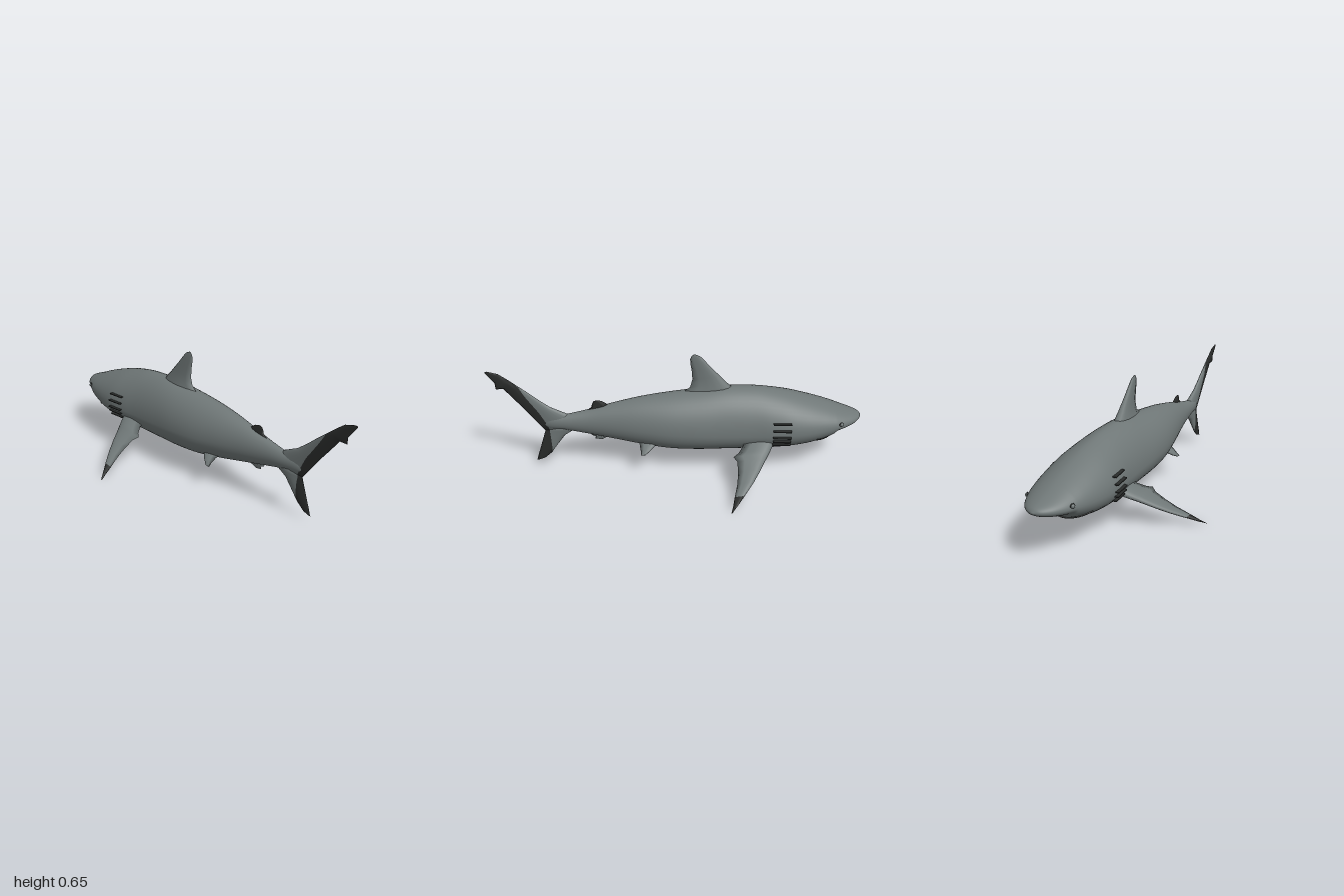
import * as THREE from 'three';
import { mergeVertices } from 'three/addons/utils/BufferGeometryUtils.js';

const skin = new THREE.MeshStandardMaterial({ color: 0x6f7777, side: THREE.DoubleSide });
skin.name = 'grey skin';
const dark = new THREE.MeshStandardMaterial({ color: 0x2a2c2b, side: THREE.DoubleSide });
dark.name = 'dark markings';

// Body stations: z, top, bottom, half width, height of widest point
const stations = [
  [-1.0, 0.283, 0.277, 0.006, 0.28], [-0.985, 0.298, 0.262, 0.04, 0.279],
  [-0.95, 0.312, 0.245, 0.077, 0.276], [-0.9, 0.33, 0.23, 0.108, 0.272],
  [-0.855, 0.348, 0.217, 0.128, 0.269], [-0.83, 0.358, 0.19, 0.137, 0.266],
  [-0.78, 0.376, 0.168, 0.15, 0.262], [-0.7, 0.402, 0.146, 0.165, 0.255],
  [-0.6, 0.43, 0.13, 0.173, 0.25], [-0.5, 0.45, 0.12, 0.167, 0.243],
  [-0.4, 0.463, 0.115, 0.157, 0.24], [-0.25, 0.465, 0.112, 0.152, 0.24],
  [-0.1, 0.449, 0.11, 0.15, 0.245], [0.05, 0.432, 0.118, 0.138, 0.25],
  [0.2, 0.41, 0.142, 0.11, 0.26], [0.35, 0.377, 0.172, 0.075, 0.268],
  [0.48, 0.342, 0.2, 0.048, 0.27], [0.6, 0.316, 0.225, 0.031, 0.27],
  [0.68, 0.305, 0.235, 0.018, 0.27], [0.72, 0.28, 0.25, 0.004, 0.265],
];
const heights = new THREE.CatmullRomCurve3(stations.map(s => new THREE.Vector3(s[0], s[1], s[2])), false, 'catmullrom');
const widths = new THREE.CatmullRomCurve3(stations.map(s => new THREE.Vector3(s[0], s[3], s[4])), false, 'catmullrom');

// Point on the body at curve parameter t and angle a (0 = left flank, PI/2 = back)
function bodyPoint(t, a) {
  const h = heights.getPoint(t), w = widths.getPoint(t);
  const c = Math.cos(a), s = Math.sin(a);
  const x = w.y * Math.sign(c) * Math.pow(Math.abs(c), s > 0 ? 1.15 : 0.95);
  return new THREE.Vector3(x, w.z + s * (s > 0 ? h.y - w.z : w.z - h.z), h.x);
}

// Same, addressed by z
function bodyAt(z, a) {
  const i = Math.max(0, stations.findIndex(s => s[0] > z) - 1);
  const f = (z - stations[i][0]) / (stations[i + 1][0] - stations[i][0]);
  return bodyPoint((i + f) / (stations.length - 1), a);
}

// Surface through equal-length closed rings; isDark(j) picks the colour of strip j
function loft(name, rings, isDark = () => false) {
  const n = rings[0].length, pos = [], faces = [[], []];
  rings.forEach(r => r.forEach(p => pos.push(p.x, p.y, p.z)));
  for (let i = 0; i < rings.length - 1; i++) {
    for (let j = 0; j < n; j++) {
      const a = i * n + j, b = i * n + (j + 1) % n;
      faces[isDark(j) ? 1 : 0].push(a, b, a + n, b, b + n, a + n);
    }
  }
  // End caps
  const last = (rings.length - 1) * n;
  for (let j = 1; j < n - 1; j++) {
    faces[0].push(0, j + 1, j);
    faces[isDark(j) ? 1 : 0].push(last, last + j, last + j + 1);
  }
  let g = new THREE.BufferGeometry();
  g.setAttribute('position', new THREE.Float32BufferAttribute(pos, 3));
  g.setIndex([...faces[0], ...faces[1]]);
  g.addGroup(0, faces[0].length, 0);
  g.addGroup(faces[0].length, faces[1].length, 1);
  g = mergeVertices(g, 1e-5);
  g.computeVertexNormals();
  const mesh = new THREE.Mesh(g, [skin, dark]);
  mesh.name = name;
  return mesh;
}

// Fin from rows [leading point, trailing point, half thickness, chord fraction where dark begins]
function fin(name, rows, normal, side = 1) {
  const N = 12, H = N / 2;
  const dir = new THREE.Vector3(...normal).normalize();
  const rings = rows.map(([lead, trail, thick, split = 1]) => {
    const A = new THREE.Vector3(...lead), B = new THREE.Vector3(...trail);
    const at = (i, sign) => {
      const u = i <= H ? split * Math.pow(i / H, 1.6) : split + (1 - split) * (i - H) / H;
      const p = A.clone().lerp(B, u).addScaledVector(dir, sign * thick * 2.6 * Math.sqrt(u) * (1 - u));
      p.x *= side;
      return p;
    };
    const ring = [];
    for (let i = 0; i <= N; i++) ring.push(at(i, 1));
    for (let i = N - 1; i > 0; i--) ring.push(at(i, -1));
    return ring;
  });
  return loft(name, rings, j => j >= H && j < N + H);
}

// Upright fin rows: leading z, y, trailing z, y, half thickness, split
const upright = rows => rows.map(([z1, y1, z2, y2, t, s]) => [[0, y1, z1], [0, y2, z2], t, s]);

export function createModel() {
  const model = new THREE.Group();

  // Body
  const rings = [];
  for (let i = 0; i <= 95; i++) {
    const ring = [];
    for (let j = 0; j < 48; j++) ring.push(bodyPoint(i / 95, j / 48 * Math.PI * 2));
    rings.push(ring);
  }
  model.add(loft('body', rings));

  // Dorsal fins
  model.add(fin('dorsalFin', upright([
    [-0.31, 0.44, 0.0, 0.41, 0.034], [-0.28, 0.472, -0.035, 0.44, 0.028],
    [-0.25, 0.5, -0.068, 0.465, 0.022], [-0.22, 0.533, -0.08, 0.51, 0.017],
    [-0.18, 0.575, -0.076, 0.56, 0.013], [-0.145, 0.615, -0.069, 0.6, 0.009],
    [-0.12, 0.642, -0.067, 0.627, 0.006], [-0.09, 0.655, -0.075, 0.645, 0.002],
  ]), [1, 0, 0]));
  model.add(fin('rearDorsalFin', upright([
    [0.33, 0.35, 0.46, 0.325, 0.013, 1], [0.358, 0.362, 0.485, 0.338, 0.01, 1],
    [0.358, 0.362, 0.485, 0.338, 0.01, 0], [0.38, 0.378, 0.458, 0.358, 0.007, 0],
    [0.4, 0.391, 0.455, 0.375, 0.005, 0], [0.42, 0.397, 0.445, 0.393, 0.002, 0],
  ]), [1, 0, 0]));
  model.add(fin('analFin', upright([
    [0.31, 0.2, 0.46, 0.21, 0.012], [0.35, 0.182, 0.47, 0.187, 0.009],
    [0.385, 0.17, 0.445, 0.175, 0.006], [0.41, 0.157, 0.45, 0.163, 0.002],
  ]), [1, 0, 0]));

  // Tail fin with dark rear margin, upper and lower lobes
  model.add(fin('tailUpperLobe', upright([
    [0.54, 0.27, 0.715, 0.22, 0.022, 0.85], [0.59, 0.32, 0.74, 0.255, 0.019, 0.77],
    [0.675, 0.36, 0.785, 0.315, 0.015, 0.57], [0.73, 0.402, 0.82, 0.362, 0.012, 0.46],
    [0.78, 0.445, 0.855, 0.405, 0.01, 0.32], [0.83, 0.485, 0.888, 0.447, 0.008, 0.05],
    [0.86, 0.51, 0.91, 0.475, 0.007, 0], [0.885, 0.53, 0.95, 0.475, 0.006, 0],
    [0.93, 0.563, 0.952, 0.51, 0.004, 0], [0.985, 0.578, 0.999, 0.572, 0.002, 0],
  ]), [1, 0, 0]));
  model.add(fin('tailLowerLobe', upright([
    [0.53, 0.27, 0.715, 0.235, 0.022, 0.87], [0.555, 0.225, 0.716, 0.215, 0.018, 0.84],
    [0.61, 0.19, 0.727, 0.18, 0.014, 0.66], [0.64, 0.15, 0.74, 0.142, 0.011, 0.46],
    [0.67, 0.11, 0.752, 0.105, 0.009, 0.18], [0.69, 0.08, 0.762, 0.078, 0.007, 0],
    [0.73, 0.046, 0.774, 0.037, 0.003, 0], [0.765, 0.034, 0.777, 0.033, 0.001, 0],
  ]), [1, 0, 0]));

  for (const side of [1, -1]) {
    const tag = side > 0 ? 'left' : 'right';

    // Pectoral fin: x, leading z, trailing z, half thickness, split
    const drop = x => 0.187 - 0.54 * (x - 0.155);
    model.add(fin(tag + 'PectoralFin', [
      [0.09, -0.52, -0.33, 0.026, 1], [0.15, -0.505, -0.345, 0.022, 1],
      [0.19, -0.482, -0.315, 0.019, 1], [0.21, -0.47, -0.287, 0.017, 1],
      [0.235, -0.453, -0.305, 0.015, 1], [0.29, -0.418, -0.304, 0.013, 1],
      [0.35, -0.376, -0.294, 0.011, 1], [0.415, -0.323, -0.274, 0.008, 1],
      [0.415, -0.323, -0.274, 0.008, 0], [0.46, -0.285, -0.262, 0.005, 0],
      [0.493, -0.256, -0.25, 0.001, 0],
    ].map(([x, z1, z2, t, s]) => [[x, drop(x), z1], [x, drop(x) - 0.004, z2], t, s]), [0.54, 1, 0], side));

    // Pelvic fin
    model.add(fin(tag + 'PelvicFin', [
      [[0.05, 0.19, 0.07], [0.05, 0.18, 0.21], 0.014],
      [[0.085, 0.168, 0.115], [0.085, 0.162, 0.205], 0.011],
      [[0.11, 0.145, 0.145], [0.11, 0.142, 0.2], 0.008],
      [[0.128, 0.127, 0.175], [0.128, 0.125, 0.2], 0.003],
    ], [1, 1, 0], side));

    // Gill fringes
    for (let k = 0; k < 5; k++) {
      const p = bodyAt(-0.545, 0.38 - k * 0.2);
      const gill = new THREE.Mesh(new THREE.BoxGeometry(0.026, 0.005, 0.095), dark);
      gill.name = tag + 'Gill';
      gill.position.set(side * (p.x + 0.004), p.y, p.z);
      gill.rotation.y = -side * 0.08;
      model.add(gill);
    }

    // Eye with a dark rim
    const e = bodyAt(-0.87, 0.2);
    const eye = new THREE.Group();
    eye.name = tag + 'Eye';
    eye.add(new THREE.Mesh(new THREE.SphereGeometry(0.011, 16, 10), skin));
    eye.add(new THREE.Mesh(new THREE.TorusGeometry(0.011, 0.0025, 6, 20), dark));
    eye.position.set(side * e.x, e.y, e.z);
    eye.rotation.y = side * 2.0;
    model.add(eye);
  }

  // Mouth: arc across the underside of the head
  const arc = [];
  for (let i = 0; i <= 20; i++) {
    const u = i / 10 - 1;
    arc.push(bodyAt(-0.845 + 0.11 * u * u, -Math.PI / 2 + u * 1.05));
  }
  const mouth = new THREE.Mesh(new THREE.TubeGeometry(new THREE.CatmullRomCurve3(arc), 48, 0.005, 8), dark);
  mouth.name = 'mouth';
  model.add(mouth);

  return model;
}
